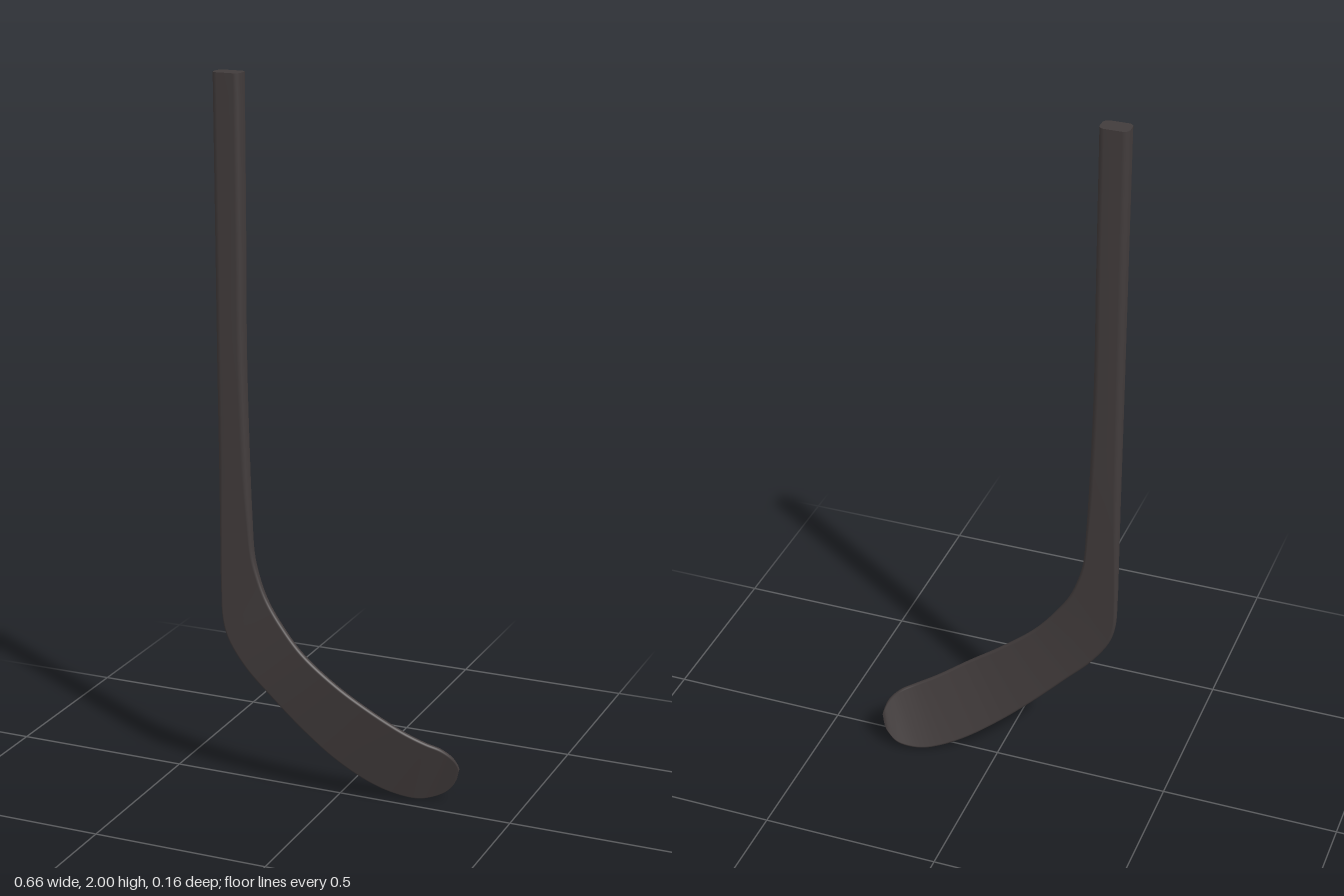
import * as THREE from 'three';

// Stations from the shaft top to the blade tip:
// outer edge x,y,z | inner edge x,y,z | thickness
const STATIONS = [
  [-0.329, 2.00, 0.055, -0.25, 2.00, 0.055, 0.052],
  [-0.329, 1.60, 0.055, -0.25, 1.60, 0.055, 0.049],
  [-0.329, 1.23, 0.056, -0.25, 1.24, 0.056, 0.045],
  [-0.329, 0.92, 0.056, -0.243, 0.95, 0.056, 0.039],
  [-0.329, 0.72, 0.057, -0.237, 0.80, 0.057, 0.032],
  [-0.329, 0.58, 0.057, -0.23, 0.69, 0.057, 0.026],
  [-0.325, 0.49, 0.057, -0.216, 0.63, 0.057, 0.022],
  [-0.308, 0.432, 0.058, -0.192, 0.567, 0.057, 0.02],
  [-0.257, 0.355, 0.056, -0.15, 0.50, 0.058, 0.019],
  [-0.19, 0.285, 0.05, -0.087, 0.423, 0.057, 0.018],
  [-0.09, 0.185, 0.035, 0.008, 0.344, 0.05, 0.017],
  [0.00, 0.106, 0.016, 0.10, 0.281, 0.037, 0.016],
  [0.093, 0.042, -0.012, 0.19, 0.222, 0.012, 0.016],
  [0.167, 0.010, -0.038, 0.25, 0.190, -0.007, 0.015],
  [0.22, 0.002, -0.057, 0.288, 0.171, -0.025, 0.015],
  [0.278, 0.021, -0.077, 0.315, 0.144, -0.043, 0.014],
  [0.307, 0.05, -0.077, 0.325, 0.118, -0.058, 0.012],
  [0.318, 0.068, -0.073, 0.328, 0.102, -0.064, 0.008],
];

// Rounded rectangle, as points running from the inner edge round by the front
function roundedSection(width, thickness) {
  const r = Math.min(0.016, thickness * 0.42, width * 0.45);
  const points = [];
  [[1, 1], [-1, 1], [-1, -1], [1, -1]].forEach(([sx, sy], corner) => {
    for (let k = 0; k <= 4; k++) {
      const a = (corner + k / 4) * Math.PI / 2;
      points.push([
        sx * (width / 2 - r) + r * Math.cos(a),
        sy * (thickness / 2 - r) + r * Math.sin(a),
      ]);
    }
  });
  return points;
}

// Loft the section along the two edge curves, with flat ends
function stickGeometry(steps) {
  const curve = (pick) => new THREE.CatmullRomCurve3(
    STATIONS.map((s) => new THREE.Vector3(...pick(s))), false, 'centripetal');
  const outer = curve((s) => s.slice(0, 3));
  const inner = curve((s) => s.slice(3, 6));
  const middle = (t) => outer.getPoint(t).add(inner.getPoint(t)).multiplyScalar(0.5);
  const thicknessAt = (t) => {
    const f = t * (STATIONS.length - 1);
    const i = Math.min(Math.floor(f), STATIONS.length - 2);
    return THREE.MathUtils.lerp(STATIONS[i][6], STATIONS[i + 1][6], f - i);
  };

  const positions = [];
  const index = [];
  const rings = [];
  for (let i = 0; i <= steps; i++) {
    const t = i / steps;
    const across = inner.getPoint(t).sub(outer.getPoint(t));
    const width = across.length();
    across.normalize();
    const along = middle(Math.min(1, t + 0.01)).sub(middle(Math.max(0, t - 0.01)));
    const front = along.cross(across).normalize();
    const centre = middle(t);
    rings.push(roundedSection(width, thicknessAt(t)).map(([u, v]) =>
      centre.clone().addScaledVector(across, u).addScaledVector(front, v)));
  }
  const n = rings[0].length;
  rings.forEach((ring) => ring.forEach((p) => positions.push(p.x, p.y, p.z)));
  for (let i = 0; i < steps; i++) {
    for (let j = 0; j < n; j++) {
      const a = i * n + j;
      const b = i * n + (j + 1) % n;
      index.push(a, b, a + n, b, b + n, a + n);
    }
  }

  // End caps have their own vertices so their rims stay crisp
  [[rings[0], true], [rings[steps], false]].forEach(([ring, top]) => {
    const start = positions.length / 3;
    ring.forEach((p) => positions.push(p.x, p.y, p.z));
    for (let j = 1; j < n - 1; j++) {
      if (top) index.push(start, start + j + 1, start + j);
      else index.push(start, start + j, start + j + 1);
    }
  });

  const geometry = new THREE.BufferGeometry();
  geometry.setAttribute('position', new THREE.Float32BufferAttribute(positions, 3));
  geometry.setIndex(index);
  geometry.computeVertexNormals();
  return geometry;
}

export function createModel() {
  const group = new THREE.Group();
  group.name = 'hockeyStick';
  const charcoal = new THREE.MeshStandardMaterial({ color: 0x423c3c });
  charcoal.name = 'charcoal';

  // Shaft and curved blade are one continuous moulding
  const stick = new THREE.Mesh(stickGeometry((STATIONS.length - 1) * 6), charcoal);
  stick.name = 'shaftAndBlade';
  group.add(stick);
  return group;
}
